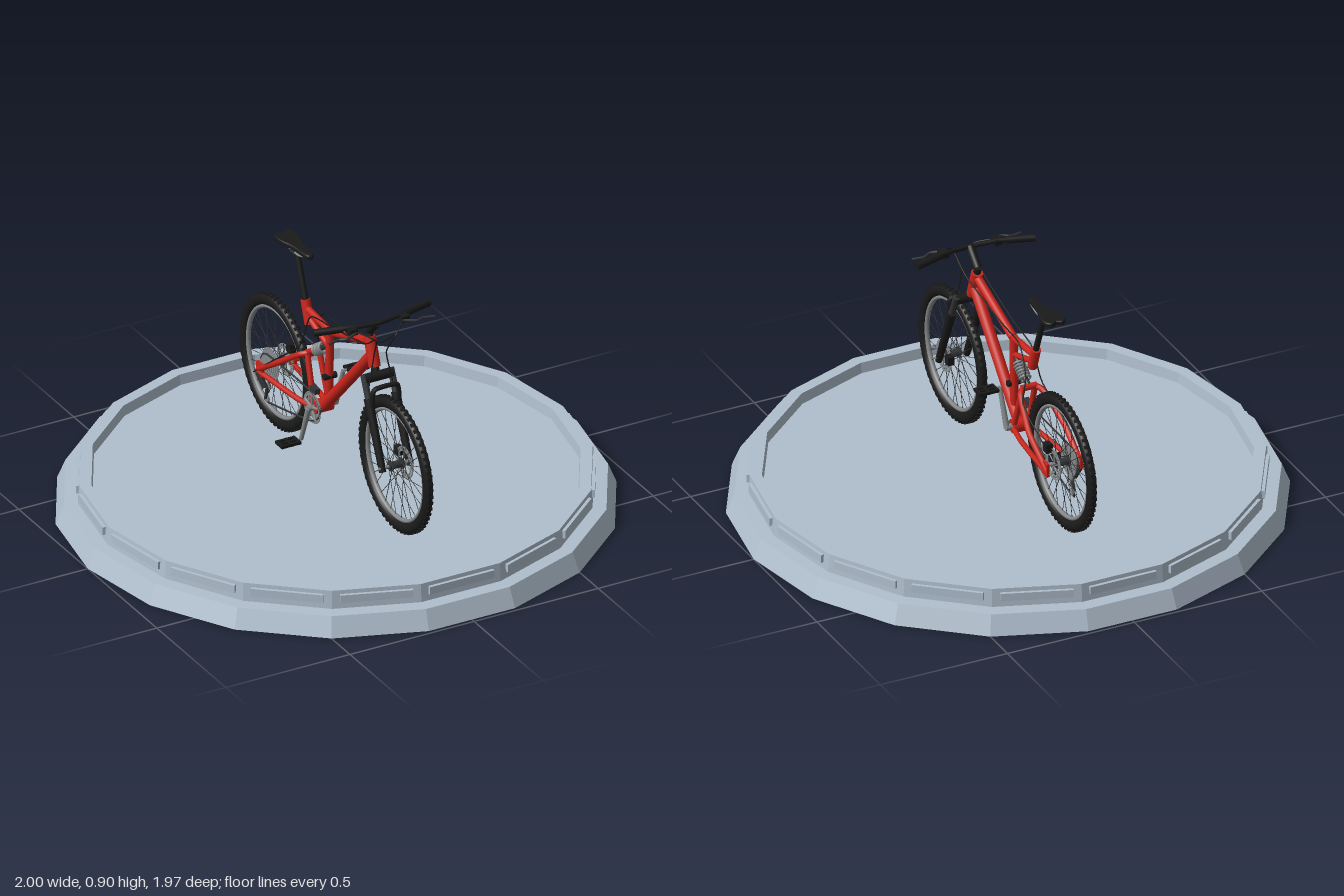
import * as THREE from 'three';
import { mergeGeometries } from 'three/addons/utils/BufferGeometryUtils.js';

const mat = (color, extra = {}) => new THREE.MeshStandardMaterial({ color, ...extra });
const RED = mat(0xc8241a), BLACK = mat(0x1a1a1a), DARK = mat(0x333436), STEEL = mat(0x85888a);
const STONE = mat(0xb0bfce, { flatShading: true });
const V = (p) => new THREE.Vector3(...p);

function add(parent, name, geo, material, pos = [0, 0, 0]) {
  const m = new THREE.Mesh(geo, material);
  m.name = name;
  m.position.set(...pos);
  parent.add(m);
  return m;
}
// Cylinder geometry running from a to b
function rodGeo(a, b, r, r2 = r, sides = 12) {
  const d = V(b).sub(V(a));
  const g = new THREE.CylinderGeometry(r2, r, d.length(), sides);
  g.applyQuaternion(new THREE.Quaternion().setFromUnitVectors(new THREE.Vector3(0, 1, 0), d.clone().normalize()));
  return g.translate(...V(a).addScaledVector(d, 0.5).toArray());
}
const rod = (p, name, a, b, r, m, r2) => add(p, name, rodGeo(a, b, r, r2), m);
const pipe = (p, name, pts, r, m, closed = false) => add(p, name,
  new THREE.TubeGeometry(new THREE.CatmullRomCurve3(pts.map(V), closed, 'catmullrom', 0.3), 40, r, 8, closed), m);
// Disc along x
const disc = (p, name, r, w, m, pos) => add(p, name, new THREE.CylinderGeometry(r, r, w, 32).rotateZ(Math.PI / 2), m, pos);
// Pierced ring plate facing z
function ringPlate(r, inner, n, holeR, depth) {
  const s = new THREE.Shape().absarc(0, 0, r, 0, Math.PI * 2);
  s.holes.push(new THREE.Path().absarc(0, 0, inner, 0, Math.PI * 2));
  for (let i = 0; i < n; i++) {
    const a = i / n * Math.PI * 2, m = (r + inner) / 2;
    s.holes.push(new THREE.Path().absarc(m * Math.cos(a), m * Math.sin(a), holeR, 0, Math.PI * 2));
  }
  return new THREE.ExtrudeGeometry(s, { depth, bevelEnabled: false, curveSegments: 10 });
}

function platform() {
  const g = new THREE.Group();
  g.name = 'platform';
  const profile = [[0, 0], [1, 0], [0.97, 0.073], [0.92, 0.075], [0.915, 0.145], [0.872, 0.145], [0.868, 0.105], [0, 0.105]]
    .map(([x, y]) => new THREE.Vector2(x, y));
  add(g, 'base', new THREE.LatheGeometry(profile, 18, Math.PI / 18), STONE);
  for (let i = 0; i < 18; i++) {
    const a = i * Math.PI / 9, r = 0.902;
    add(g, 'sidePanel', new THREE.BoxGeometry(0.26, 0.03, 0.024), STONE, [r * Math.sin(a), 0.115, r * Math.cos(a)]).rotation.y = a;
  }
  return g;
}

// Wheel built around z, then turned so its axle runs along x
function wheel(name, z) {
  const g = new THREE.Group();
  g.name = name;
  g.position.set(0, 0.36, z);
  g.rotation.y = Math.PI / 2;
  add(g, 'tyre', new THREE.TorusGeometry(0.23, 0.022, 12, 64).scale(1, 1, 0.78), BLACK);
  const knobs = [], spokes = [];
  for (let i = 0; i < 60; i++) for (const s of [-1, 1]) {
    const a = (i + (s > 0 ? 0.5 : 0)) / 60 * Math.PI * 2;
    knobs.push(new THREE.BoxGeometry(0.006, 0.012, 0.009).translate(0.2505, 0, s * 0.006).rotateZ(a));
  }
  add(g, 'treadKnobs', mergeGeometries(knobs), BLACK);
  add(g, 'rim', new THREE.TorusGeometry(0.205, 0.008, 8, 64).scale(1, 1, 1.2), STEEL);
  for (let i = 0; i < 32; i++) {
    const a = i / 32 * Math.PI * 2, b = a + (i % 4 < 2 ? 0.9 : -0.9), s = i % 2 ? 1 : -1;
    spokes.push(rodGeo([0.018 * Math.cos(b), 0.018 * Math.sin(b), s * 0.022], [0.2 * Math.cos(a), 0.2 * Math.sin(a), 0], 0.0012, 0.0012, 4));
  }
  add(g, 'spokes', mergeGeometries(spokes), DARK);
  rod(g, 'hub', [0, 0, -0.03], [0, 0, 0.03], 0.014, DARK);
  for (const s of [-1, 1]) rod(g, 'hubFlange', [0, 0, s * 0.02], [0, 0, s * 0.024], 0.021, DARK);
  rod(g, 'axle', [0, 0, -0.07], [0, 0, 0.07], 0.006, STEEL);
  add(g, 'brakeRotor', ringPlate(0.06, 0.042, 18, 0.005, 0.003), STEEL, [0, 0, 0.034]);
  for (let i = 0; i < 6; i++) {
    const a = i * Math.PI / 3;
    rod(g, 'rotorArm', [0.012 * Math.cos(a), 0.012 * Math.sin(a), 0.035], [0.046 * Math.cos(a + 0.4), 0.046 * Math.sin(a + 0.4), 0.035], 0.0022, STEEL);
  }
  return g;
}

function frame() {
  const g = new THREE.Group();
  g.name = 'frame';
  rod(g, 'headTube', [0, 0.68, 0.28], [0, 0.785, 0.243], 0.022, RED);
  rod(g, 'downTube', [0, 0.715, 0.26], [0, 0.345, -0.09], 0.021, RED);
  rod(g, 'topTube', [0, 0.768, 0.25], [0, 0.667, -0.04], 0.016, RED);
  rod(g, 'seatTube', [0, 0.675, -0.045], [0, 0.38, -0.05], 0.015, RED);
  rod(g, 'upperSeatBrace', [0, 0.667, -0.035], [0, 0.68, -0.21], 0.013, RED);
  rod(g, 'lowerSeatBrace', [0, 0.6, -0.045], [0, 0.65, -0.2], 0.011, RED);
  rod(g, 'seatCollar', [0, 0.625, -0.192], [0, 0.71, -0.222], 0.018, RED);
  disc(g, 'bottomBracket', 0.026, 0.07, RED, [0, 0.345, -0.1]);
  // Rear swingarm
  for (const s of [-1, 1]) {
    pipe(g, 'seatStay', [[s * 0.02, 0.53, -0.16], [s * 0.045, 0.515, -0.19], [s * 0.07, 0.43, -0.31], [s * 0.066, 0.345, -0.44]], 0.011, RED);
    pipe(g, 'chainStay', [[s * 0.03, 0.34, -0.1], [s * 0.045, 0.335, -0.2], [s * 0.066, 0.335, -0.44]], 0.01, RED);
    rod(g, 'pivotStrut', [s * 0.024, 0.53, -0.165], [s * 0.03, 0.36, -0.11], 0.011, RED);
    add(g, 'dropout', new THREE.BoxGeometry(0.01, 0.05, 0.04), RED, [s * 0.066, 0.35, -0.43]);
  }
  rod(g, 'swingarmBridge', [-0.03, 0.53, -0.165], [0.03, 0.53, -0.165], 0.012, RED);
  // Coil shock
  const a = V([0, 0.605, -0.055]), b = V([0, 0.53, -0.165]);
  rod(g, 'shockShaft', a.toArray(), b.toArray(), 0.01, DARK);
  const q = new THREE.Quaternion().setFromUnitVectors(new THREE.Vector3(0, 1, 0), b.clone().sub(a).normalize());
  const coil = Array.from({ length: 61 }, (_, i) => {
    const t = i / 60 * Math.PI * 12;
    return new THREE.Vector3(0.019 * Math.cos(t), 0.035 + i / 60 * 0.07, 0.019 * Math.sin(t)).applyQuaternion(q).add(a);
  });
  add(g, 'shockSpring', new THREE.TubeGeometry(new THREE.CatmullRomCurve3(coil), 140, 0.0045, 6), STEEL);
  return g;
}

function saddle() {
  const g = new THREE.Group();
  g.name = 'seat';
  rod(g, 'seatPost', [0, 0.68, -0.21], [0, 0.88, -0.287], 0.011, BLACK);
  const s = new THREE.Shape();
  s.moveTo(0, -0.182);
  s.bezierCurveTo(0.022, -0.182, 0.008, -0.25, 0.026, -0.3);
  s.bezierCurveTo(0.045, -0.35, 0.04, -0.387, 0.018, -0.387);
  s.lineTo(0, -0.378);
  s.lineTo(-0.018, -0.387);
  s.bezierCurveTo(-0.04, -0.387, -0.045, -0.35, -0.026, -0.3);
  s.bezierCurveTo(-0.008, -0.25, -0.022, -0.182, 0, -0.182);
  const geo = new THREE.ExtrudeGeometry(s, { depth: 0.006, bevelThickness: 0.006, bevelSize: 0.004, bevelSegments: 3, curveSegments: 10 });
  add(g, 'saddle', geo.rotateX(Math.PI / 2), BLACK, [0, 0.899, 0]);
  for (const x of [-0.014, 0.014])
    pipe(g, 'saddleRail', [[x, 0.89, -0.21], [x, 0.878, -0.25], [x, 0.878, -0.32], [x, 0.89, -0.36]], 0.004, STEEL);
  add(g, 'saddleClamp', new THREE.BoxGeometry(0.036, 0.016, 0.03), DARK, [0, 0.878, -0.287]);
  return g;
}

function steering() {
  const g = new THREE.Group();
  g.name = 'steering';
  rod(g, 'steerer', [0, 0.655, 0.292], [0, 0.81, 0.236], 0.014, BLACK);
  rod(g, 'stem', [0, 0.805, 0.238], [0, 0.862, 0.3], 0.015, BLACK);
  pipe(g, 'handlebar', [[-0.23, 0.862, 0.255], [-0.1, 0.866, 0.288], [0, 0.862, 0.3], [0.1, 0.866, 0.288], [0.23, 0.862, 0.255]], 0.009, BLACK);
  rod(g, 'forkCrown', [-0.055, 0.655, 0.305], [0.055, 0.655, 0.305], 0.018, BLACK);
  pipe(g, 'forkArch', [[-0.055, 0.57, 0.36], [-0.045, 0.635, 0.36], [0.045, 0.635, 0.36], [0.055, 0.57, 0.36]], 0.009, BLACK);
  for (const s of [-1, 1]) {
    rod(g, 'forkStanchion', [s * 0.055, 0.67, 0.298], [s * 0.055, 0.54, 0.355], 0.012, DARK);
    rod(g, 'forkLeg', [s * 0.055, 0.345, 0.437], [s * 0.055, 0.59, 0.333], 0.013, BLACK, 0.017);
    rod(g, 'grip', [s * 0.13, 0.865, 0.281], [s * 0.232, 0.862, 0.254], 0.014, BLACK);
    add(g, 'leverClamp', new THREE.BoxGeometry(0.03, 0.022, 0.04), BLACK, [s * 0.105, 0.86, 0.3]);
    pipe(g, 'brakeLever', [[s * 0.09, 0.858, 0.315], [s * 0.14, 0.853, 0.335], [s * 0.17, 0.85, 0.322], [s * 0.215, 0.848, 0.33]], 0.005, DARK);
    pipe(g, 'brakeCable', [[s * 0.09, 0.858, 0.32], [s * 0.04, 0.83, 0.36], [s * 0.025, 0.75, 0.32], [s * 0.05, 0.62, 0.325]], 0.0025, BLACK);
  }
  add(g, 'frontCaliper', new THREE.BoxGeometry(0.025, 0.032, 0.03), BLACK, [0.045, 0.377, 0.372]);
  return g;
}

function drivetrain() {
  const g = new THREE.Group();
  g.name = 'drivetrain';
  const cx = -0.042, by = 0.345, bz = -0.1;
  [0.06, 0.047, 0.036].forEach((r, i) => {
    add(g, 'chainring', ringPlate(r, r - 0.014, 16, 0.003, 0.003).rotateY(Math.PI / 2), STEEL, [cx + i * 0.007, by, bz]);
  });
  for (let i = 0; i < 5; i++) {
    const a = i * Math.PI * 0.4;
    rod(g, 'chainringArm', [cx, by, bz], [cx, by + 0.05 * Math.cos(a), bz + 0.05 * Math.sin(a)], 0.005, STEEL);
  }
  disc(g, 'crankAxle', 0.012, 0.12, STEEL, [0, by, bz]);
  // Cranks and pedals point opposite ways
  for (const s of [-1, 1]) {
    const y = by + s * 0.143, z = bz + s * 0.045;
    rod(g, 'crankArm', [s * 0.055, by, bz], [s * 0.06, y, z], 0.011, STEEL, 0.008);
    rod(g, 'pedalAxle', [s * 0.055, y, z], [s * 0.15, y, z], 0.005, STEEL);
    for (const d of [-0.02, 0, 0.02]) add(g, 'pedalBar', new THREE.BoxGeometry(0.078, 0.011, 0.01), BLACK, [s * 0.112, y, z + d]);
    for (const d of [-0.034, 0, 0.034]) add(g, 'pedalCrossPlate', new THREE.BoxGeometry(0.009, 0.012, 0.05), BLACK, [s * 0.112 + d, y, z]);
  }
  for (let i = 0; i < 8; i++) disc(g, 'sprocket', 0.06 - i * 0.0055, 0.002, STEEL, [-0.024 - i * 0.0042, 0.36, -0.43]);
  // Rear derailleur and chain
  rod(g, 'derailleurBody', [-0.07, 0.335, -0.44], [-0.055, 0.28, -0.415], 0.011, DARK);
  rod(g, 'derailleurCage', [-0.046, 0.28, -0.415], [-0.046, 0.228, -0.427], 0.006, DARK);
  for (const [y, z] of [[0.28, -0.415], [0.228, -0.427]]) disc(g, 'jockeyWheel', 0.014, 0.006, STEEL, [-0.04, y, z]);
  pipe(g, 'chain', [[-0.04, 0.404, -0.1], [-0.04, 0.402, -0.43], [-0.04, 0.36, -0.472], [-0.04, 0.32, -0.44], [-0.04, 0.28, -0.402],
    [-0.04, 0.228, -0.44], [-0.04, 0.214, -0.42], [-0.04, 0.287, -0.11], [-0.04, 0.345, -0.04]], 0.0035, DARK, true);
  add(g, 'rearCaliper', new THREE.BoxGeometry(0.025, 0.035, 0.03), BLACK, [0.045, 0.418, -0.405]);
  add(g, 'frontDerailleur', new THREE.BoxGeometry(0.02, 0.02, 0.04), DARK, [-0.035, 0.42, -0.09]);
  disc(g, 'frontDerailleurClamp', 0.012, 0.05, BLACK, [0, 0.487, -0.045]);
  pipe(g, 'rearBrakeCable', [[0.04, 0.83, 0.35], [0.03, 0.76, 0.26], [0.02, 0.705, 0.02], [0.02, 0.69, -0.13],
    [0.035, 0.6, -0.21], [0.06, 0.51, -0.24], [0.06, 0.43, -0.4]], 0.0025, BLACK);
  pipe(g, 'shiftCable', [[-0.04, 0.83, 0.35], [-0.03, 0.77, 0.26], [-0.02, 0.71, 0.0], [-0.02, 0.68, -0.15],
    [-0.04, 0.55, -0.19], [-0.075, 0.43, -0.33], [-0.07, 0.32, -0.47]], 0.0025, BLACK);
  return g;
}

export function createModel() {
  const model = new THREE.Group();
  model.name = 'bicycleOnPlatform';
  const bike = new THREE.Group();
  bike.name = 'bicycle';
  bike.add(wheel('frontWheel', 0.435), wheel('rearWheel', -0.43), frame(), saddle(), steering(), drivetrain());
  model.add(platform(), bike);
  return model;
}
